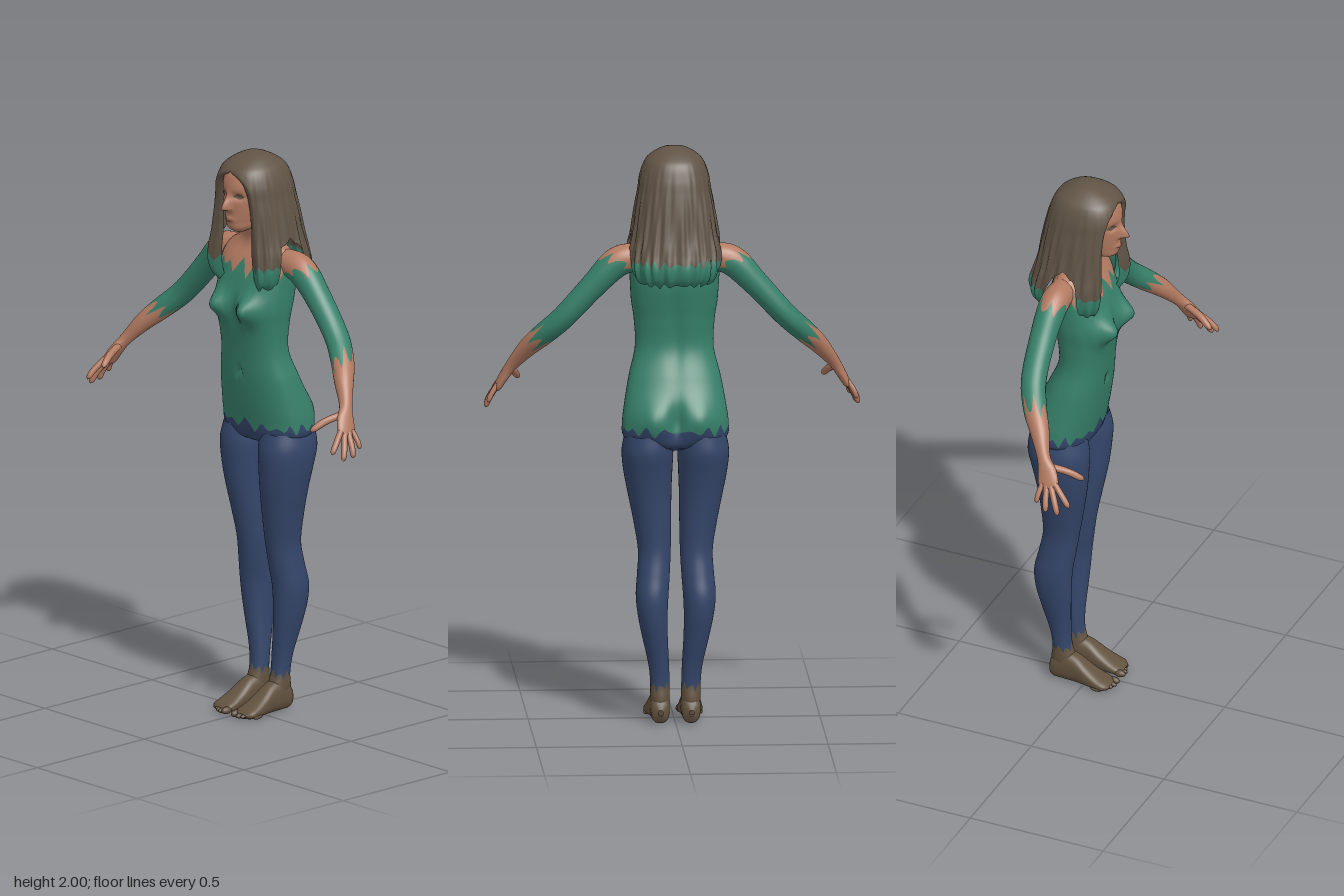
import * as THREE from 'three';
import { mergeVertices } from 'three/addons/utils/BufferGeometryUtils.js';

const TAU = Math.PI * 2;
const material = (name, color) => {
  const m = new THREE.MeshStandardMaterial({ color, side: THREE.DoubleSide });
  m.name = name;
  return m;
};

// Smooth interpolation through rows of [key, ...values], keys ascending
const table = rows => k => {
  const n = rows.length;
  let i = 0;
  while (i < n - 2 && k > rows[i + 1][0]) i++;
  const a = rows[i], b = rows[i + 1], p = rows[Math.max(i - 1, 0)], q = rows[Math.min(i + 2, n - 1)];
  const h = b[0] - a[0], t = Math.min(1, Math.max(0, (k - a[0]) / h)), t2 = t * t, t3 = t2 * t;
  return a.slice(1).map((v, j) => {
    const c = j + 1;
    const m0 = (b[c] - p[c]) / (b[0] - p[0]) * h, m1 = (q[c] - v) / (q[0] - a[0]) * h;
    return (2 * t3 - 3 * t2 + 1) * v + (t3 - 2 * t2 + t) * m0 + (3 * t2 - 2 * t3) * b[c] + (t3 - t2) * m1;
  });
};

const spow = (v, e) => Math.sign(v) * Math.abs(v) ** e;
const bump = (dx, sx, dy, sy) => Math.exp(-((dx / sx) ** 2) - (dy / sy) ** 2);
// Ragged edge around a closed section
const jag = (u, n, amp) =>
  amp * (Math.abs((((u * n / TAU) % 1) + 1) % 1 * 2 - 1) - 0.5) * (1.2 + 0.8 * Math.sin(u * 5 + 1));

// Upright section at height y: half width, front z, back z
const section = (u, y, [hw, zf, zb], e, mid = 0) => {
  const zc = (zf + zb) / 2;
  return [mid + hw * spow(Math.sin(u), e), y, zc + (zf - zc) * spow(Math.cos(u), e)];
};

// Part of a surface fn(u, v), between the edges lo(u) and hi(u); s = -1 mirrors it in x
function patch(group, name, mat, fn, lo, hi, { u0 = 0, u1 = TAU, nu = 32, nv = 24, s = 1 } = {}) {
  const pos = [], index = [];
  for (let j = 0; j <= nv; j++) for (let i = 0; i <= nu; i++) {
    const u = u0 + (u1 - u0) * i / nu, a = lo(u), b = hi(u);
    const [x, y, z] = fn(u, a + (b - a) * j / nv);
    pos.push(x * s, y, z);
  }
  for (let j = 0; j < nv; j++) for (let i = 0; i < nu; i++) {
    const a = j * (nu + 1) + i, b = a + 1, c = b + nu + 1, d = a + nu + 1;
    if (s > 0) index.push(a, b, c, a, c, d);
    else index.push(a, c, b, a, d, c);
  }
  let g = new THREE.BufferGeometry();
  g.setAttribute('position', new THREE.Float32BufferAttribute(pos, 3));
  g.setIndex(index);
  g = mergeVertices(g, 1e-5);
  g.computeVertexNormals();
  const mesh = new THREE.Mesh(g, mat);
  mesh.name = name;
  group.add(mesh);
}

// Limb surface through rows of [index, x, y, z, radius toward z, radius across]
const limb = rows => {
  const at = table(rows), last = rows[rows.length - 1][0];
  return (u, v) => {
    const [x, y, z, ra, rb] = at(v);
    const p = at(Math.max(0, v - 0.05)), q = at(Math.min(last, v + 0.05));
    const T = new THREE.Vector3(q[0] - p[0], q[1] - p[1], q[2] - p[2]).normalize();
    const B = new THREE.Vector3(0, 0, 1).addScaledVector(T, -T.z).normalize();
    const N = T.clone().cross(B);
    const c = Math.cos(u) * ra, d = Math.sin(u) * rb;
    return [x + B.x * c + N.x * d, y + B.y * c + N.y * d, z + B.z * c + N.z * d];
  };
};

const torsoAt = table([
  [0.955, 0.02, -0.06, -0.12], [0.97, 0.13, 0, -0.165], [1, 0.177, 0.02, -0.185], [1.05, 0.182, 0.03, -0.192],
  [1.1, 0.176, 0.04, -0.183], [1.2, 0.158, 0.055, -0.138], [1.3, 0.135, 0.065, -0.1], [1.4, 0.139, 0.08, -0.105],
  [1.46, 0.148, 0.083, -0.115], [1.52, 0.152, 0.075, -0.125], [1.58, 0.155, 0.055, -0.125], [1.62, 0.155, 0.035, -0.12],
  [1.66, 0.13, 0.01, -0.1], [1.69, 0.08, 0.005, -0.09], [1.72, 0.055, 0.015, -0.085], [1.8, 0.05, 0.03, -0.08]]);
const torso = (u, v) => {
  const p = section(u, v, torsoAt(v), 0.85), x = Math.abs(p[0]);
  if (Math.cos(u) > 0) p[2] += 0.052 * bump(x - 0.072, 0.042, v - 1.46, 0.045) - 0.012 * bump(x, 0.012, v - 1.23, 0.014);
  else p[2] += 0.03 * bump(x, 0.022, v - 1.06, 0.06) - 0.018 * bump(x - 0.085, 0.05, v - 1.07, 0.06)
    + 0.01 * bump(x, 0.025, v - 1.36, 0.15);
  return p;
};

const headAt = table([
  [1.725, 0.015, 0.07, 0.02], [1.74, 0.04, 0.094, -0.01], [1.77, 0.055, 0.1, -0.06], [1.81, 0.068, 0.104, -0.1],
  [1.86, 0.075, 0.108, -0.12], [1.91, 0.075, 0.106, -0.12], [1.95, 0.065, 0.085, -0.1], [1.985, 0.02, 0.02, -0.04]]);
const head = (u, v) => {
  const p = section(u, v, headAt(v), 0.9), x = Math.abs(p[0]);
  if (Math.cos(u) > 0) p[2] += 0.036 * bump(x, 0.012, v - 1.818, v > 1.818 ? 0.034 : 0.01)
    - 0.012 * bump(x - 0.033, 0.018, v - 1.86, 0.013) + 0.007 * bump(x, 0.02, v - 1.775, 0.009);
  return p;
};
const onFace = (u, v) => {
  const p = head(u, v);
  return [p[0] * 1.01, p[1], p[2] + 0.003];
};

const hairAt = table([
  [1.53, 0.135, 0.1, -0.18], [1.56, 0.155, 0.122, -0.203], [1.6, 0.163, 0.13, -0.21], [1.65, 0.16, 0.126, -0.197],
  [1.7, 0.15, 0.12, -0.184], [1.8, 0.135, 0.117, -0.166], [1.85, 0.126, 0.117, -0.156], [1.9, 0.118, 0.115, -0.144],
  [1.95, 0.098, 0.095, -0.122], [1.975, 0.071, 0.062, -0.09], [1.99, 0.045, 0.03, -0.06], [1.997, 0.024, 0.005, -0.035],
  [2, 0, -0.015, -0.015]]);
const faceOpening = table([[1.53, 0.7], [1.65, 0.6], [1.75, 0.62], [1.85, 0.58], [1.9, 0.42], [1.925, 0.2], [1.945, 0], [2, 0]]);
// u runs 0..1 from one edge of the face, round the back, to the other edge
const hair = (w, v) => {
  const a = Math.max(0, faceOpening(v)[0]), u = a + w * (TAU - 2 * a);
  const [hw, zf, zb] = hairAt(v);
  const edge = Math.min(1, Math.min(w, 1 - w) / 0.05), low = Math.min(1, Math.max(0, (1.96 - v) / 0.3));
  const curl = 1 - 0.25 * (1 - edge) ** 2 * Math.min(1, a / 0.3);
  const k = curl * (1 + 0.022 * low * (Math.sin(u * 23 + v * 9) + 0.6 * Math.sin(u * 37 - v * 14)));
  const p = section(u, v, [hw, zf, zb], 0.85), zc = (zf + zb) / 2;
  return [p[0] * k, v, zc + (p[2] - zc) * k];
};
const hairEnd = w => {
  const q = Math.min(w, 1 - w) * 2;
  return 1.54 + 0.16 * Math.exp(-(((q - 0.4) / 0.13) ** 4)) + jag(w * TAU, 20, 0.012);
};

const legAt = table([
  [0.03, 0.025, 0.08, -0.03, -0.115], [0.08, 0.02, 0.086, -0.035, -0.125], [0.13, 0.02, 0.086, -0.052, -0.12],
  [0.2, 0.022, 0.092, -0.055, -0.13], [0.3, 0.027, 0.114, -0.05, -0.155], [0.38, 0.028, 0.13, -0.045, -0.172],
  [0.45, 0.025, 0.137, -0.04, -0.175], [0.52, 0.02, 0.132, -0.03, -0.16], [0.6, 0.016, 0.128, -0.018, -0.146],
  [0.7, 0.014, 0.143, 0, -0.15], [0.8, 0.013, 0.163, 0.017, -0.16], [0.88, 0.01, 0.178, 0.025, -0.175],
  [0.95, 0.007, 0.184, 0.028, -0.19], [1.01, 0.01, 0.174, 0.015, -0.185]]);
const leg = (u, v) => {
  const [xi, xo, zf, zb] = legAt(v);
  return section(u, v, [(xo - xi) / 2, zf, zb], 0.95, (xi + xo) / 2);
};

// Foot sections along z: middle x, half width, bottom, top
const footAt = table([
  [-0.132, 0.053, 0.008, 0.03, 0.05], [-0.122, 0.053, 0.027, 0.006, 0.08], [-0.08, 0.053, 0.034, 0, 0.11],
  [-0.03, 0.054, 0.036, 0, 0.1], [0.02, 0.056, 0.041, 0, 0.066], [0.06, 0.057, 0.044, 0, 0.043],
  [0.085, 0.057, 0.041, 0.002, 0.032], [0.1, 0.056, 0.025, 0.01, 0.02]]);
const foot = (u, v) => {
  const [xc, hw, b, t] = footAt(v);
  return [xc - hw * spow(Math.sin(u), 0.8), (b + t) / 2 + (t - b) / 2 * spow(Math.cos(u), 0.8), v];
};

const arm = limb([
  [0, 0.11, 1.62, -0.052, 0.045, 0.045], [1, 0.195, 1.603, -0.055, 0.05, 0.052], [2, 0.28, 1.52, -0.056, 0.046, 0.044],
  [3, 0.38, 1.41, -0.045, 0.044, 0.04], [4, 0.45, 1.342, -0.008, 0.041, 0.038], [5, 0.5, 1.29, 0.032, 0.034, 0.032],
  [6, 0.55, 1.225, 0.07, 0.023, 0.021], [7, 0.575, 1.183, 0.095, 0.034, 0.017], [8, 0.597, 1.142, 0.11, 0.034, 0.013],
  [9, 0.603, 1.128, 0.115, 0.002, 0.002]]);
const fingers = [ // base, middle, tip, radius
  ['indexFinger', [0.592, 1.155, 0.132], [0.608, 1.118, 0.17], [0.615, 1.088, 0.195], 0.0105],
  ['middleFinger', [0.598, 1.145, 0.12], [0.623, 1.1, 0.145], [0.637, 1.062, 0.162], 0.011],
  ['ringFinger', [0.6, 1.145, 0.104], [0.627, 1.1, 0.112], [0.64, 1.066, 0.118], 0.0105],
  ['littleFinger', [0.6, 1.152, 0.088], [0.622, 1.117, 0.082], [0.633, 1.09, 0.08], 0.009],
  ['thumb', [0.56, 1.2, 0.1], [0.541, 1.183, 0.158], [0.521, 1.153, 0.21], 0.0125]];

export function createModel() {
  const model = new THREE.Group();
  model.name = 'woman';
  const skin = material('skin', 0xb27a61), green = material('green top', 0x37806a), blue = material('blue trousers', 0x34466a);
  const brown = material('brown hair', 0x615446), shoe = material('brown feet', 0x62523f), lip = material('lips', 0x96604c);
  const at = c => () => c;

  // Torso, with ragged neckline and hem
  const neckline = u => 1.605 - 0.012 * Math.cos(u) + jag(u, 18, 0.035), hem = u => 1.03 + jag(u, 17, 0.026);
  patch(model, 'pelvis', blue, torso, at(0.955), hem, { nu: 108, nv: 12 });
  patch(model, 'top', green, torso, hem, neckline, { nu: 108, nv: 70 });
  patch(model, 'neckAndShoulders', skin, torso, neckline, at(1.8), { nu: 108, nv: 20 });

  // Head and face
  patch(model, 'head', skin, head, at(1.725), at(1.985), { nu: 96, nv: 70 });
  patch(model, 'lips', lip, onFace, u => 1.775 - 0.007 * Math.cos(u / 0.36 * Math.PI / 2), u => 1.775 + 0.006 * Math.cos(u / 0.36 * Math.PI / 2),
    { u0: -0.36, u1: 0.36, nu: 12, nv: 4 });

  // Hair, its tips in the colour of the top
  const tips = w => Math.max(hairEnd(w), 1.615 + jag(w * TAU, 24, 0.02));
  patch(model, 'hair', brown, hair, tips, at(2), { u1: 1, nu: 200, nv: 64 });
  patch(model, 'hairTips', green, hair, hairEnd, tips, { u1: 1, nu: 200, nv: 10 });

  for (const s of [1, -1]) {
    const side = s > 0 ? 'left' : 'right', o = { s };

    const eye = u => Math.sin((u - 0.2) / 0.56 * Math.PI);
    patch(model, side + 'Eye', brown, onFace, u => 1.861 - 0.009 * eye(u), u => 1.861 + 0.011 * eye(u),
      { ...o, u0: 0.2, u1: 0.76, nu: 14, nv: 5 });

    // Arm: bare shoulder, sleeve, bare forearm and hand
    const sleeveTop = u => 0.85 - 0.5 * Math.sin(u) + jag(u, 7, 0.3), cuff = u => 4.1 + jag(u, 7, 0.7);
    patch(model, side + 'Shoulder', skin, arm, at(0), sleeveTop, { ...o, nu: 42, nv: 10 });
    patch(model, side + 'Sleeve', green, arm, sleeveTop, cuff, { ...o, nu: 42, nv: 24 });
    patch(model, side + 'ForearmAndPalm', skin, arm, cuff, at(9), { ...o, nu: 42, nv: 32 });
    for (const [name, a, b, c, r] of fingers) {
      const near = c.map((v, i) => v + (b[i] - v) * 0.2);
      const f = limb([[0, ...a, r, r], [1, ...b, r, r], [1.8, ...near, r * 0.8, r * 0.8], [2, ...c, 0.001, 0.001]]);
      patch(model, side + name[0].toUpperCase() + name.slice(1), skin, f, at(0), at(2), { ...o, nu: 12, nv: 14 });
    }

    // Leg, ankle, foot and toes
    const ankle = u => 0.13 + jag(u, 8, 0.02);
    patch(model, side + 'Leg', blue, leg, ankle, at(1.01), { ...o, nu: 48, nv: 60 });
    patch(model, side + 'Ankle', shoe, leg, at(0.03), ankle, { ...o, nu: 48, nv: 8 });
    patch(model, side + 'Foot', shoe, foot, at(-0.132), at(0.1), { ...o, nu: 32, nv: 30 });
    for (let i = 0; i < 5; i++) {
      const r = i ? 0.0095 - i * 0.0004 : 0.013;
      const toe = new THREE.Mesh(new THREE.SphereGeometry(1, 14, 10), shoe);
      toe.name = side + 'Toe';
      toe.scale.set(r, r, 0.022);
      toe.position.set(s * (i ? 0.028 + i * 0.0165 : 0.024), r + 0.001, 0.093 - i * i * 0.0022);
      model.add(toe);
    }
  }
  return model;
}
